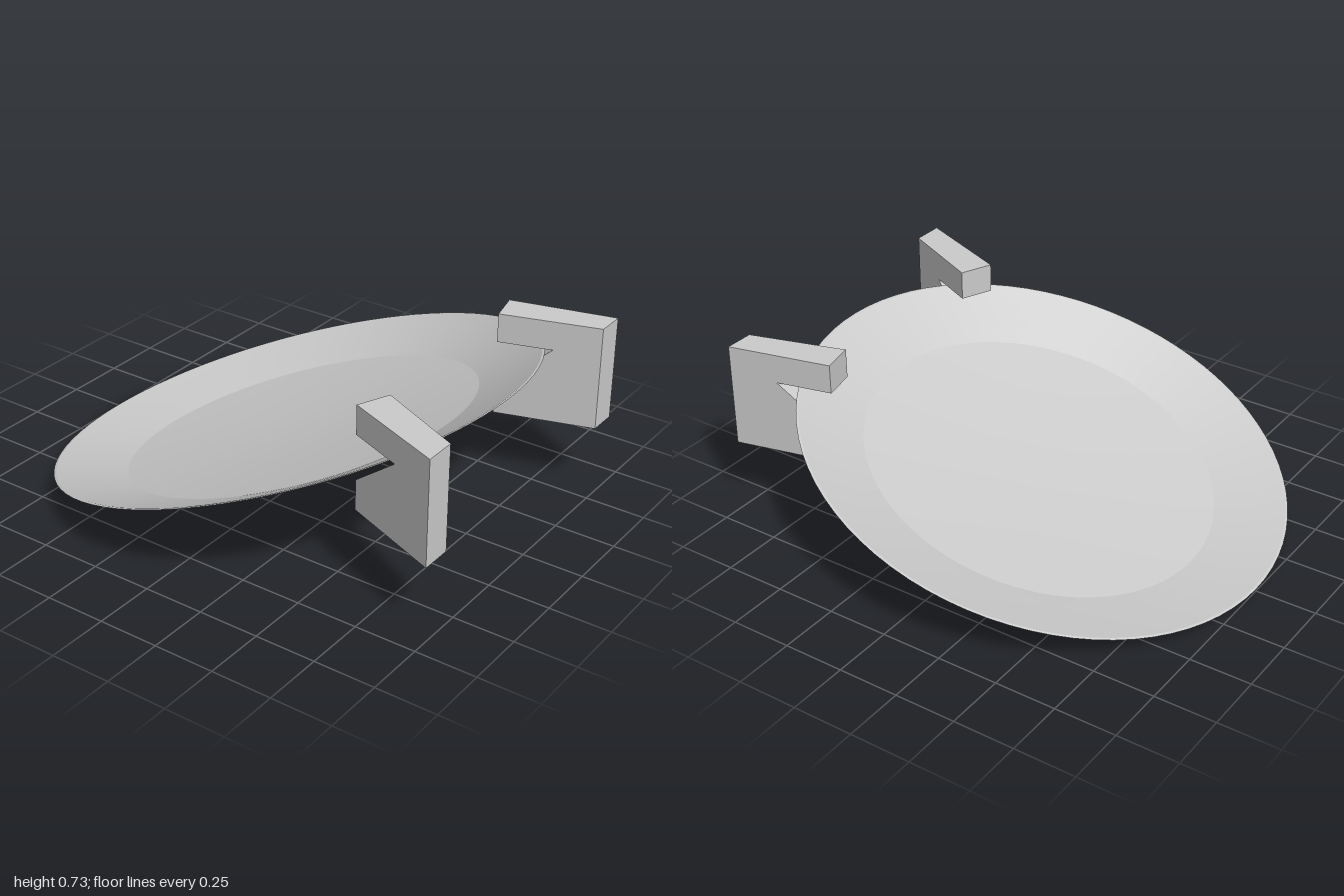
import * as THREE from 'three';
import { toCreasedNormals } from 'three/addons/utils/BufferGeometryUtils.js';

const material = new THREE.MeshStandardMaterial({ color: 0xcccccc });

// Shallow dish: underside from centre to rim, then the inside back to centre
function makePlate() {
  const underside = [[0, -0.127], [0.25, -0.123], [0.42, -0.115], [0.63, -0.104], [0.735, -0.093],
    [0.83, -0.064], [0.92, -0.031], [1, 0]];
  const inside = [[0.99, 0.001], [0.9, -0.03], [0.8, -0.062], [0.72, -0.088], [0.6, -0.097],
    [0.42, -0.107], [0.25, -0.115], [0, -0.119]];
  const profile = [...underside, ...inside].map(([r, y]) => new THREE.Vector2(r, y));
  const geometry = toCreasedNormals(new THREE.LatheGeometry(profile, 80), 0.15);
  const plate = new THREE.Mesh(geometry, material);
  plate.name = 'plate';
  plate.rotation.x = -0.318;
  plate.position.set(0, 0.3175, -0.05);
  return plate;
}

// Notched grip: the side profile is extruded, then fitted to a footprint
// given as [x, z] corners: front -x, front +x, inner -x, inner +x
function makeGrip(name, footprint) {
  const profile = [[0, 0.3], [1, 0.3], [1, 0.425], [0.46, 0.61], [1, 0.61], [1, 0.73], [0, 0.73]];
  const shape = new THREE.Shape(profile.map(([t, y]) => new THREE.Vector2(t, y)));
  const geometry = new THREE.ExtrudeGeometry(shape, { depth: 1, bevelEnabled: false });
  const [a, b, c, d] = footprint;
  const p = geometry.attributes.position;
  const { lerp } = THREE.MathUtils;
  for (let i = 0; i < p.count; i++) {
    const t = p.getX(i), s = p.getZ(i);
    const [x, z] = [0, 1].map(k => lerp(lerp(a[k], b[k], s), lerp(c[k], d[k], s), t));
    p.setXYZ(i, x, p.getY(i), z);
  }
  geometry.computeVertexNormals();
  const grip = new THREE.Mesh(geometry, material);
  grip.name = name;
  return grip;
}

export function createModel() {
  const model = new THREE.Group();
  model.name = 'heldPlate';
  model.add(
    makePlate(),
    makeGrip('rightGrip', [[-0.68, 0.99], [-0.55, 0.99], [-0.51, 0.58], [-0.38, 0.635]]),
    makeGrip('leftGrip', [[0.525, 1], [0.645, 1], [0.41, 0.61], [0.545, 0.58]]),
  );
  return model;
}
